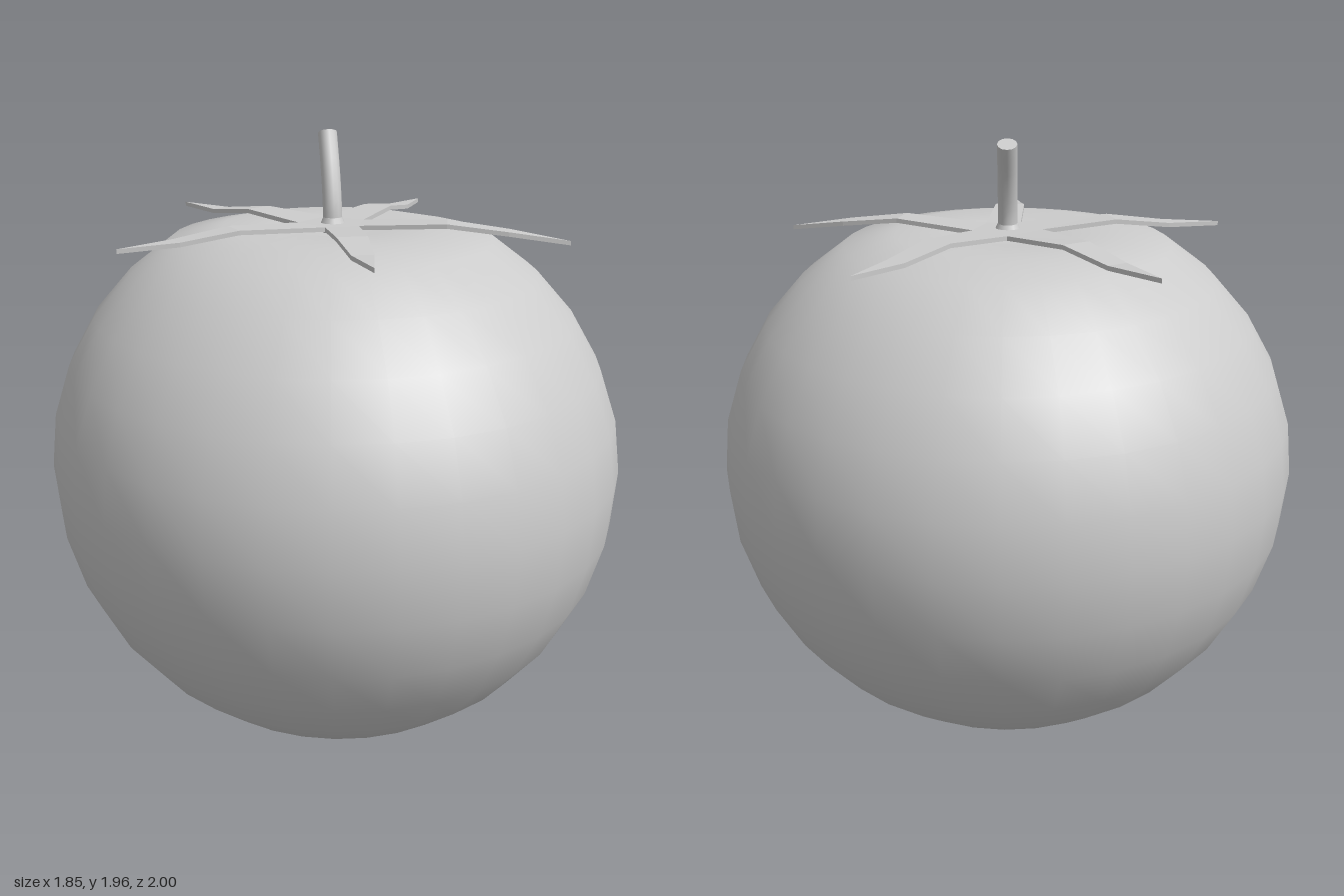
import * as THREE from 'three';
import { mergeVertices } from 'three/addons/utils/BufferGeometryUtils.js';

const material = () => new THREE.MeshStandardMaterial({ color: 0xcccccc });

function named(name, geometry, mat = material()) {
  const mesh = new THREE.Mesh(geometry, mat);
  mesh.name = name;
  return mesh;
}

// Fruit: a sphere squashed on top, with a shallow dimple and a slight lean
function fruitGeometry() {
  const sphere = new THREE.SphereGeometry(1, 32, 16);
  sphere.deleteAttribute('uv');
  sphere.deleteAttribute('normal');
  const geo = mergeVertices(sphere, 1e-4);
  const p = geo.attributes.position;
  const midY = 0.915;
  for (let i = 0; i < p.count; i++) {
    const x = p.getX(i), y = p.getY(i), z = p.getZ(i);
    const r = Math.hypot(x, z);
    const dimple = y > 0 ? 0.15 * Math.max(0, 1 - r / 0.56) : 0;
    const height = y > 0 ? y * 0.86 - dimple : y * midY;
    p.setXYZ(i, x * 0.927, midY + height, z - 0.035 * y);
  }
  geo.computeVertexNormals();
  return geo;
}

// Calyx: five thin pointed sepals around a small pentagon
// Each sepal: tip, tip height, valley on either side
const sepals = [
  { tip: [0, 0.63], y: 1.655, a: [-0.04, 0.06], b: [0.07, 0.05] },
  { tip: [0.72, 0.2], y: 1.63, a: [0.07, 0.05], b: [0.11, -0.07] },
  { tip: [0.42, -0.6], y: 1.655, a: [0.11, -0.07], b: [0, -0.155] },
  { tip: [-0.43, -0.63], y: 1.66, a: [0, -0.155], b: [-0.11, -0.05] },
  { tip: [-0.69, 0.2], y: 1.65, a: [-0.11, -0.05], b: [-0.04, 0.06] },
];

function sepalGeometry({ tip, y, a, b }) {
  const thick = 0.014;
  const len = Math.hypot(...tip);
  const dir = [tip[0] / len, tip[1] / len];
  const side = [dir[1], -dir[0]];
  // a point at a distance along the sepal and an offset across it
  const at = (t, w, h) => new THREE.Vector3(
    dir[0] * t * len + side[0] * w, h, dir[1] * t * len + side[1] * w);
  const baseY = 1.672;
  const left = [new THREE.Vector3(a[0], baseY, a[1]), at(0.48, -0.048, 1.684),
    at(0.74, -0.034, 1.66), at(1, 0, y)];
  const right = [new THREE.Vector3(b[0], baseY, b[1]), at(0.48, 0.048, 1.684),
    at(0.74, 0.034, 1.66), at(1, 0, y)];
  const low = (v) => v.clone().setY(v.y - thick);
  const pos = [];
  const tri = (...vs) => vs.forEach((v) => pos.push(v.x, v.y, v.z));
  const quad = (p, q, r, s) => { tri(p, q, r); tri(p, r, s); };

  // share of the central pentagon
  const hub = new THREE.Vector3(0, baseY, -0.03);
  tri(hub, left[0], right[0]);
  tri(low(hub), low(right[0]), low(left[0]));

  for (let i = 0; i < 3; i++) {
    const l0 = left[i], l1 = left[i + 1], r0 = right[i], r1 = right[i + 1];
    quad(l0, l1, r1, r0);
    quad(low(r0), low(r1), low(l1), low(l0));
    quad(l0, low(l0), low(l1), l1);
    quad(r1, low(r1), low(r0), r0);
  }
  const geo = new THREE.BufferGeometry();
  geo.setAttribute('position', new THREE.Float32BufferAttribute(pos, 3));
  geo.computeVertexNormals();
  return geo;
}

// Stem: a bent tube with a flat cut end and a small flare at the foot
function buildStem() {
  const stem = new THREE.Group();
  stem.name = 'stem';
  const curve = new THREE.CatmullRomCurve3([
    [1.64, -0.03], [1.72, -0.035], [1.82, -0.065], [1.945, -0.125],
  ].map(([y, z]) => new THREE.Vector3(0, y, z)));
  const radius = 0.031;
  stem.add(named('stemShaft', new THREE.TubeGeometry(curve, 10, radius, 12)));

  const cut = named('stemCut', new THREE.CircleGeometry(radius, 12));
  cut.position.copy(curve.getPoint(1));
  cut.quaternion.setFromUnitVectors(new THREE.Vector3(0, 0, 1), curve.getTangent(1));
  stem.add(cut);

  const foot = named('stemFoot', new THREE.CylinderGeometry(0.031, 0.042, 0.025, 12));
  foot.position.set(0, 1.677, -0.03);
  stem.add(foot);
  return stem;
}

export function createModel() {
  const model = new THREE.Group();
  model.name = 'tomato';
  model.add(named('fruit', fruitGeometry()));

  const calyx = new THREE.Group();
  calyx.name = 'calyx';
  const leafMaterial = material();
  leafMaterial.side = THREE.DoubleSide;
  leafMaterial.flatShading = true;
  sepals.forEach((s) => calyx.add(named('sepal', sepalGeometry(s), leafMaterial)));
  model.add(calyx);

  model.add(buildStem());
  return model;
}
